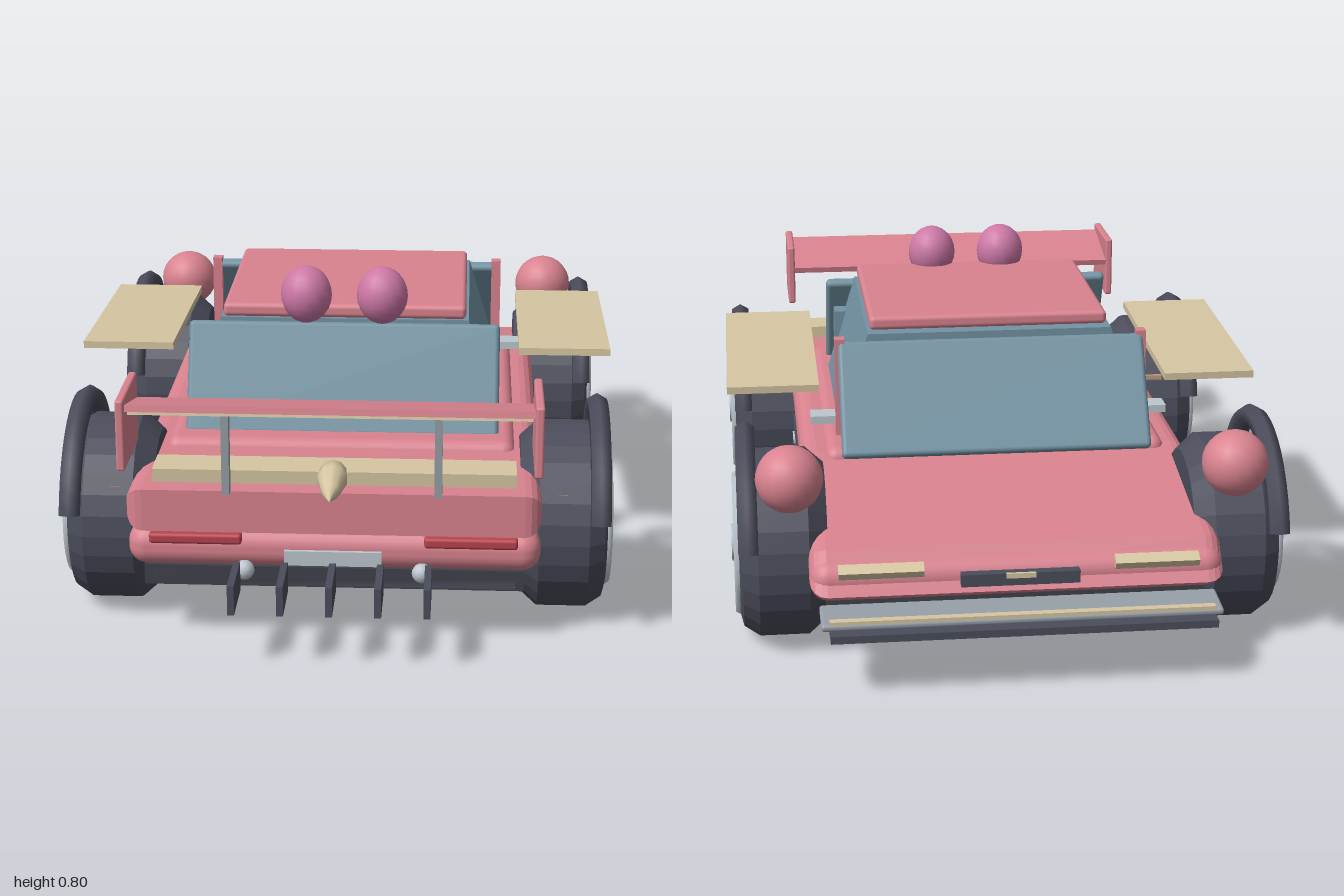
import * as THREE from 'three';
import { RoundedBoxGeometry } from 'three/addons/geometries/RoundedBoxGeometry.js';

const mat = (name, color, extra = {}) => new THREE.MeshStandardMaterial({ name, color, ...extra });

export function createModel() {
  const pink = mat('pink paint', 0xd9838f);
  const magenta = mat('magenta', 0xcd78a6);
  const glass = mat('blue glass', 0x7393a3);
  const dark = mat('dark rubber', 0x4b4d5b, { side: THREE.DoubleSide });
  const black = mat('black underside', 0x40424b);
  const cream = mat('cream', 0xd6c6a2);
  const tan = mat('tan', 0xc49c7c);
  const silver = mat('silver', 0xbdc6ce);
  const grey = mat('grey', 0x969fa6);
  const red = mat('red lamp', 0xb8434f);

  const model = new THREE.Group();
  model.name = 'car';
  const add = (name, geo, material, x = 0, y = 0, z = 0, parent = model) => {
    const m = new THREE.Mesh(geo, material);
    m.name = name;
    m.position.set(x, y, z);
    parent.add(m);
    return m;
  };
  const box = (name, material, w, h, d, x, y, z, parent) =>
    add(name, new THREE.BoxGeometry(w, h, d), material, x, y, z, parent);
  const round = (name, material, w, h, d, r, x, y, z) =>
    add(name, new RoundedBoxGeometry(w, h, d, 3, r), material, x, y, z);

  // Side profile (z, y) swept across the car with rounded edges
  const bevel = 0.04;
  const sideShape = new THREE.Shape(
    [[0.805, 0.322], [0.805, 0.345], [-0.36, 0.345], [-0.8, 0.265], [-0.835, 0.23], [-0.72, 0.23], [-0.6, 0.322]]
      .map(([z, y]) => new THREE.Vector2(-z, y)));
  const bodyGeo = new THREE.ExtrudeGeometry(sideShape, {
    depth: 0.9, bevelThickness: bevel, bevelSize: bevel, bevelSegments: 4, curveSegments: 4 });
  bodyGeo.translate(0, 0, -0.45).rotateY(Math.PI / 2);
  add('upperBody', bodyGeo, pink);
  round('lowerBody', pink, 0.98, 0.1, 1.7, 0.045, 0, 0.23, -0.02);
  round('cabinBase', pink, 0.86, 0.09, 0.94, 0.03, 0, 0.36, 0.07);
  box('floor', black, 0.9, 0.05, 1.64, 0, 0.162, 0);

  // Cabin: tapered core with overlapping glass panes at both ends
  const core = new THREE.BoxGeometry(0.78, 0.26, 0.6);
  const p = core.attributes.position;
  for (let i = 0; i < p.count; i++)
    if (p.getY(i) > 0) p.setXYZ(i, p.getX(i) * 0.8, p.getY(i), p.getZ(i) * 0.98);
  core.computeVertexNormals();
  add('sideGlass', core, glass, 0, 0.53, 0.04);
  const pane = (name, z0, z1, y1) => {
    const len = Math.hypot(z1 - z0, y1 - 0.39);
    const m = round(name, glass, 0.78, len, 0.03, 0.012, 0, (y1 + 0.39) / 2, (z0 + z1) / 2);
    m.rotation.x = Math.atan2(z1 - z0, y1 - 0.39);
  };
  pane('rearGlass', 0.455, 0.335, 0.65);
  pane('windshield', -0.43, -0.27, 0.645);
  round('roof', pink, 0.61, 0.035, 0.56, 0.012, 0, 0.678, 0.055);
  for (const s of [-1, 1]) {
    box('paneFillet', glass, 0.05, 0.2, 0.08, s * 0.345, 0.47, 0.34);
    const ball = add('roofBall', new THREE.SphereGeometry(0.064, 16, 12), magenta, s * 0.095, 0.724, 0.34);
    ball.scale.y = 1.13;
  }

  // Wheels with spoked rims and arched mudguards
  const tyreProfile = [[0.13, 0.095], [0.178, 0.105], [0.205, 0.098], [0.23, 0.06], [0.23, -0.06],
    [0.19, -0.105], [0.0, -0.105]].map(([r, x]) => new THREE.Vector2(r, x)).reverse();
  const tyreGeo = new THREE.LatheGeometry(tyreProfile, 28).toNonIndexed();
  tyreGeo.computeVertexNormals();
  tyreGeo.rotateZ(-Math.PI / 2);
  const disc = (r, h) => new THREE.CylinderGeometry(r, r, h, 28).rotateZ(Math.PI / 2);
  const archGeo = new THREE.TorusGeometry(0.268, 0.027, 6, 18, Math.PI * 0.84)
    .rotateZ(Math.PI * 0.08).rotateY(Math.PI / 2);
  const ringGeo = new THREE.TorusGeometry(0.163, 0.013, 6, 28).rotateY(Math.PI / 2);
  for (const s of [-1, 1]) for (const z of [0.535, -0.558]) {
    const wheel = new THREE.Group();
    wheel.name = 'wheel';
    wheel.position.set(s * 0.547, 0.23, z);
    if (s < 0) wheel.rotation.y = Math.PI;
    model.add(wheel);
    add('tyre', tyreGeo, dark, 0, 0, 0, wheel);
    add('rimBack', disc(0.16, 0.02), dark, 0.07, 0, 0, wheel);
    add('brakeDisc', disc(0.115, 0.02), cream, 0.083, 0, 0, wheel);
    add('rimRing', ringGeo, silver, 0.106, 0, 0, wheel);
    add('hub', disc(0.045, 0.035), silver, 0.105, 0, 0, wheel);
    for (let i = 0; i < 3; i++) {
      const spoke = box('spokePair', silver, 0.022, 0.32, 0.036, 0.106, 0, 0, wheel);
      spoke.rotation.x = i * Math.PI / 3;
    }
    add('mudguard', archGeo, dark, 0.083, 0, 0, wheel);
  }

  // Parts repeated on both sides
  for (const s of [-1, 1]) {
    const panel = box('sidePanel', cream, 0.23, 0.018, 0.625, s * 0.555, 0.557, -0.02);
    panel.rotation.x = -0.035;
    box('post', pink, 0.025, 0.27, 0.032, s * 0.385, 0.522, -0.27);
    box('bracket', silver, 0.09, 0.02, 0.06, s * 0.415, 0.435, -0.222);
    add('frontBall', new THREE.SphereGeometry(0.08, 18, 14), pink, s * 0.53, 0.46, -0.76);
    box('sill', tan, 0.04, 0.03, 0.66, s * 0.462, 0.183, -0.015);
    box('sideMoulding', dark, 0.01, 0.008, 0.6, s * 0.488, 0.276, -0.015);
    for (const z of [0.25, 0.19, 0, -0.09, -0.25])
      box('seam', dark, 0.006, 0.055, 0.007, s * 0.489, 0.235, z);
    box('doorHandle', silver, 0.014, 0.012, 0.075, s * 0.49, 0.255, 0.155);
    for (const z of [0.725, 0.325, -0.375])
      box('sideRod', tan, 0.1, 0.012, 0.012, s * 0.51, 0.342, z);

    // Lamps and exhausts
    round('tailLamp', red, 0.22, 0.026, 0.03, 0.008, s * 0.325, 0.262, 0.83);
    const lamp = box('headLamp', cream, 0.2, 0.02, 0.03, s * 0.325, 0.265, -0.872);
    lamp.rotation.x = -0.5;
    add('exhaust', new THREE.SphereGeometry(0.024, 12, 8), silver, s * 0.21, 0.182, 0.83);

    // Wing supports and end plates
    add('wingStrut', new THREE.BoxGeometry(0.018, 0.2, 0.03), grey, s * 0.247, 0.487, 0.86);
    round('wingEndPlate', pink, 0.02, 0.17, 0.22, 0.006, s * 0.475, 0.56, 0.86);
  }

  // Wing blade
  const blade = new THREE.Group();
  blade.name = 'wing';
  blade.position.set(0, 0.598, 0.852);
  blade.rotation.x = -0.23;
  model.add(blade);
  box('wingBlade', pink, 0.94, 0.016, 0.205, 0, 0, 0, blade);
  box('wingStrip', cream, 0.92, 0.008, 0.02, 0, -0.011, 0.085, blade);

  // Rear deck bar, teardrop, plate and diffuser fins
  box('deckBar', cream, 0.86, 0.035, 0.1, 0, 0.4, 0.74);
  const drop = new THREE.LatheGeometry([[0, 0], [0.022, 0.05], [0.036, 0.11], [0.032, 0.15], [0, 0.17]]
    .map(([r, y]) => new THREE.Vector2(r, y)), 10);
  const tear = add('teardrop', drop, cream, 0, 0.405, 0.955);
  tear.rotation.x = -Math.PI / 2 + 0.13;
  box('plate', silver, 0.23, 0.036, 0.02, 0, 0.217, 0.83);
  for (let i = -2; i <= 2; i++)
    box('diffuserFin', dark, 0.016, 0.072, 0.15, i * 0.113, 0.175, 0.925);
  box('diffuserBase', dark, 0.86, 0.035, 0.06, 0, 0.158, 0.79);

  // Nose grille and splitter
  box('grille', dark, 0.28, 0.03, 0.025, 0, 0.24, -0.883);
  box('grilleBadge', cream, 0.07, 0.012, 0.008, 0, 0.25, -0.896);
  const lip = round('splitterTop', grey, 0.94, 0.018, 0.11, 0.008, 0, 0.168, -0.91);
  lip.rotation.x = -0.08;
  box('splitterStrip', cream, 0.9, 0.008, 0.02, 0, 0.176, -0.955);
  box('splitter', dark, 0.9, 0.018, 0.155, 0, 0.15, -0.922);
  return model;
}
